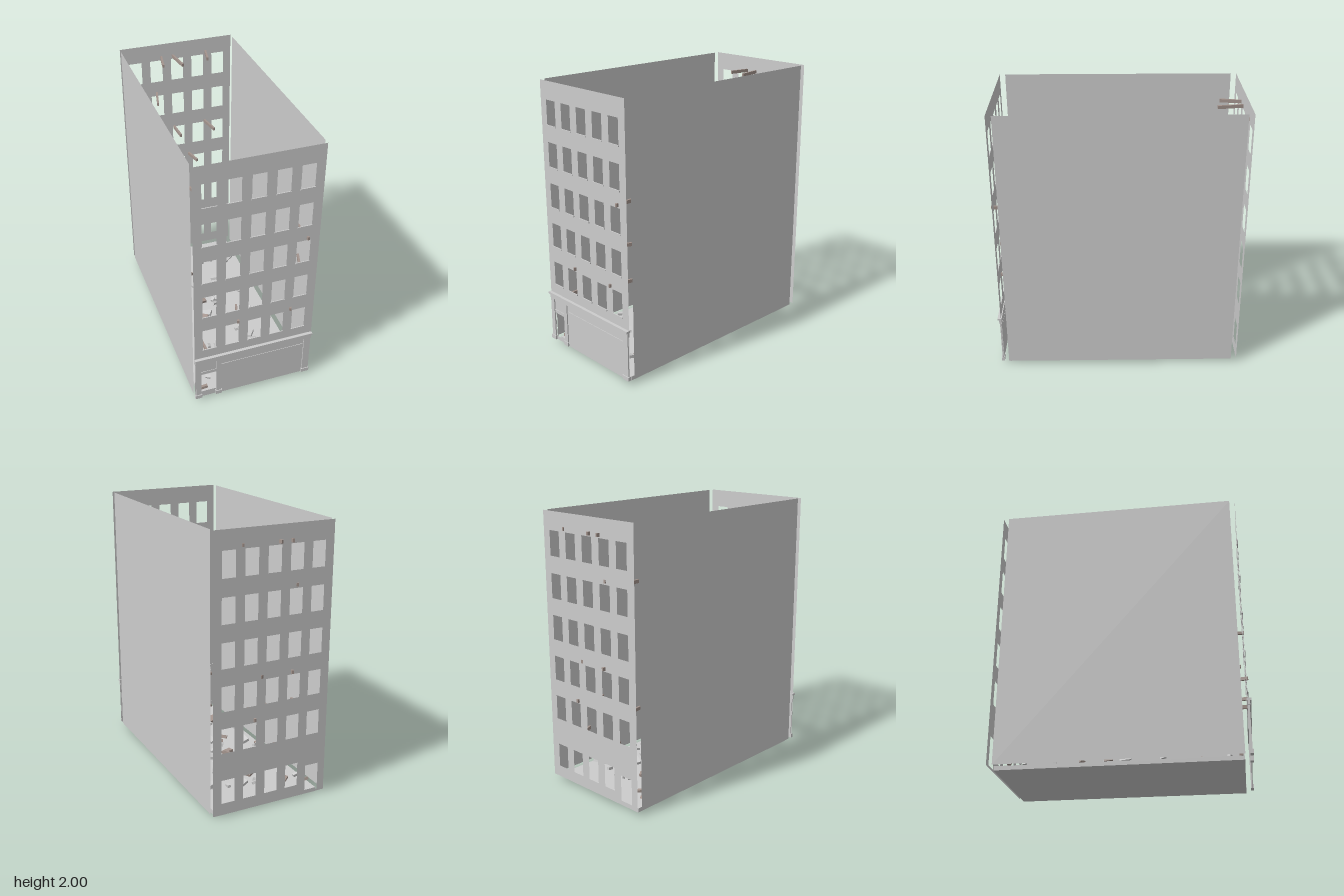
import * as THREE from 'three';

const HALF_W = 0.445, FACADE_Z = 0.885, BASE = 0.03, TOP = 2;
const COLS = [-0.335, -0.169, -0.002, 0.165, 0.331];
const ROWS = [0.49, 0.79, 1.09, 1.39, 1.69];

export function createModel() {
  const model = new THREE.Group();
  const concrete = new THREE.MeshStandardMaterial({ color: 0xcccccc, side: THREE.DoubleSide });
  concrete.name = 'concrete';
  const wood = new THREE.MeshStandardMaterial({ color: 0xa3948d });
  wood.name = 'weathered wood';

  const add = (name, geometry, material, parent = model) => {
    const mesh = new THREE.Mesh(geometry, material);
    mesh.name = name;
    parent.add(mesh);
    return mesh;
  };
  const group = (name) => {
    const g = new THREE.Group();
    g.name = name;
    model.add(g);
    return g;
  };
  // box given by its limits on each axis
  const block = (name, x0, x1, y0, y1, z0, z1, parent) => {
    const mesh = add(name, new THREE.BoxGeometry(x1 - x0, y1 - y0, z1 - z0), concrete, parent);
    mesh.position.set((x0 + x1) / 2, (y0 + y1) / 2, (z0 + z1) / 2);
    return mesh;
  };
  const rect = (path, x0, x1, y0, y1) => {
    path.moveTo(x0, y0);
    path.lineTo(x1, y0);
    path.lineTo(x1, y1);
    path.lineTo(x0, y1);
    path.closePath();
    return path;
  };

  // floor slab and the two blank side walls
  block('floorSlab', -0.408, 0.408, 0, BASE, -0.842, 0.842);
  for (const side of [-1, 1]) {
    const wall = add(side > 0 ? 'leftWall' : 'rightWall',
      new THREE.PlaneGeometry(1.69, TOP - BASE), concrete);
    wall.rotation.y = side * Math.PI / 2;
    wall.position.set(side * HALF_W, (TOP + BASE) / 2, 0);
  }

  // thin facades pierced by five rows of windows
  const facade = (name, z, extraHoles) => {
    const shape = rect(new THREE.Shape(), -HALF_W, HALF_W, BASE, TOP);
    for (const y of ROWS) {
      for (const x of COLS) {
        shape.holes.push(rect(new THREE.Path(), x - 0.049, x + 0.049, y, y + 0.178));
      }
    }
    for (const h of extraHoles) shape.holes.push(rect(new THREE.Path(), ...h));
    const geometry = new THREE.ShapeGeometry(shape);
    if (z < 0) geometry.rotateY(Math.PI).scale(1, 1, 1);
    const mesh = add(name, geometry, concrete);
    mesh.position.z = z;
    return mesh;
  };
  facade('frontFacade', FACADE_Z, [[-0.398, -0.288, 0.058, 0.277]]);
  // the back is turned round, so its openings are mirrored in x
  facade('backFacade', -FACADE_Z, [
    [0.285, 0.39, 0.045, 0.252],
    ...COLS.slice(1).map((x) => [-x - 0.049, -x + 0.049, 0.115, 0.29]),
  ]);

  // window sills
  const sills = group('windowSills');
  for (const y of ROWS) {
    for (const x of COLS) block('sill', x - 0.053, x + 0.053, y - 0.008, y + 0.002, 0.884, 0.891, sills);
  }

  // shop front: cornice, pilasters and boarded panel
  const shop = group('shopFront');
  block('corniceBand', -0.443, 0.443, 0.366, 0.398, 0.882, 0.898, shop);
  block('corniceTop', -0.447, 0.447, 0.398, 0.414, 0.878, 0.908, shop);
  for (const [x0, x1] of [[-0.44, -0.402], [-0.286, -0.25], [0.39, 0.438]]) {
    block('pilaster', x0, x1, BASE, 0.366, 0.88, 0.894, shop);
    block('pilasterBase', x0 - 0.006, x1 + 0.006, BASE, 0.06, 0.878, 0.9, shop);
  }
  block('shopPanel', -0.245, 0.385, BASE, 0.313, 0.884, 0.889, shop);
  block('doorLintel', -0.402, -0.286, 0.252, 0.277, 0.884, 0.889, shop);

  // broken floor beams: height, outer x, outer z, inner x, inner z
  const beams = group('brokenBeams');
  const beam = (y, x0, z0, x1, z1) => {
    const length = Math.hypot(x1 - x0, z1 - z0);
    const mesh = add('beam', new THREE.BoxGeometry(0.015, 0.024, length), wood, beams);
    mesh.position.set((x0 + x1) / 2, y, (z0 + z1) / 2);
    mesh.rotation.y = Math.atan2(x1 - x0, z1 - z0);
  };
  [
    [0.395, -0.325, 0.88, -0.335, 0.71], [0.69, -0.13, 0.9, -0.085, 0.73],
    [0.69, 0.262, 0.9, 0.3, 0.725], [1.29, 0.358, 0.902, 0.35, 0.72],
    [0.99, 0.335, 0.86, 0.39, 0.69],
  ].forEach((b) => beam(...b));
  [
    [1.59, -0.33, -0.855, -0.31, -0.69], [0.69, -0.3, -0.855, -0.275, -0.685],
    [0.99, -0.242, -0.87, -0.237, -0.7], [1.59, -0.17, -0.89, -0.212, -0.7],
    [0.99, -0.145, -0.905, -0.175, -0.73], [1.89, -0.12, -0.905, -0.15, -0.73],
    [0.395, -0.092, -0.86, -0.115, -0.73], [1.89, -0.034, -0.91, -0.005, -0.7],
    [0.69, -0.068, -0.845, -0.058, -0.69], [1.29, -0.048, -0.845, -0.038, -0.685],
    [0.69, 0.048, -0.88, 0.087, -0.7], [0.99, 0.082, -0.89, 0.116, -0.755],
    [0.69, 0.135, -0.9, 0.126, -0.72], [1.89, 0.237, -0.89, 0.208, -0.745],
    [1.29, 0.217, -0.86, 0.247, -0.7], [0.395, 0.203, -0.835, 0.26, -0.685],
  ].forEach((b) => beam(...b));

  // rubble on the floor: x, z, turn in degrees
  const rubble = group('rubble');
  const scatter = (name, material, w, h, d, list) => list.forEach(([x, z, turn], i) => {
    const mesh = add(name, new THREE.BoxGeometry(w, h, d), material, rubble);
    mesh.position.set(x, BASE + 0.02 + 0.006 * (i % 3), z);
    mesh.rotation.set(0.25 * ((i % 3) - 1) + 0.12, turn * Math.PI / 180, 0.18 * ((i % 4) - 1.5));
    mesh.rotation.order = 'YXZ';
  });
  scatter('concreteSlab', concrete, 0.078, 0.022, 0.05, [
    [0.058, -0.58, 20], [0.27, -0.52, 35], [0.32, -0.555, 35], [0.135, -0.34, -25],
    [-0.06, -0.265, -55], [-0.3, 0.045, 88], [0.063, -0.1, 80], [-0.085, 0.075, -32],
    [-0.05, 0.17, 115], [0.16, 0.4, 55], [-0.1, 0.435, -40], [-0.125, 0.46, 65],
    [0.2, 0.69, 85],
  ]);
  scatter('concreteChunk', concrete, 0.036, 0.02, 0.024, [
    [-0.36, -0.64, 0], [-0.335, -0.435, 10], [-0.325, -0.085, 30], [0.02, -0.075, 50],
    [0.015, -0.02, 25], [0.1, -0.225, 80], [0.18, -0.23, -10], [0.285, -0.17, -40],
    [0.265, -0.095, -45], [0.36, -0.14, 55], [0.21, 0.12, 90], [0.26, 0.125, -20],
    [0.08, 0.315, 90], [-0.355, 0.305, 55], [-0.19, 0.44, 90], [-0.05, 0.595, 110],
    [0.17, 0.47, 10], [-0.3, 0.745, -30], [0.245, 0.76, 10], [-0.05, -0.585, -35],
    [-0.02, -0.63, -10], [0.325, -0.08, 60], [0.17, -0.58, 90], [0.12, 0.725, 25],
  ]);
  scatter('woodSlab', wood, 0.075, 0.022, 0.05, [
    [-0.077, -0.455, 30], [-0.08, -0.085, 10], [-0.165, 0.165, -32], [-0.12, 0.125, 60],
    [-0.245, 0.53, 80],
  ]);
  scatter('woodSplinter', wood, 0.058, 0.02, 0.022, [
    [-0.34, -0.24, -35], [-0.357, -0.065, 85], [0.34, 0.17, -42], [0.12, 0.745, -5],
    [0.25, 0.655, -20], [-0.37, -0.75, -5], [-0.36, 0.82, 0], [-0.16, -0.31, 80],
    [0.09, 0.2, 45], [-0.26, -0.665, 40],
  ]);

  return model;
}
